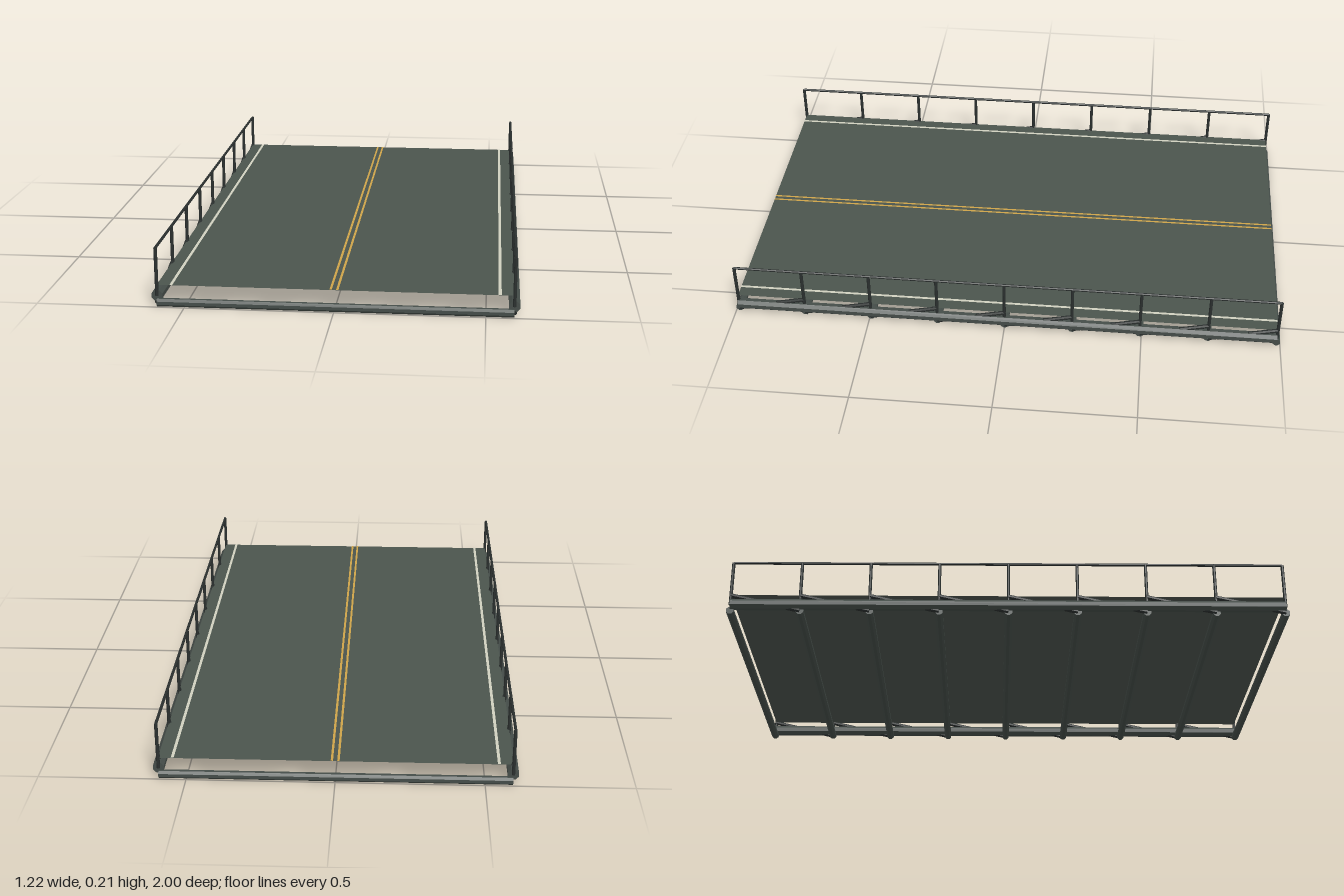
import * as THREE from 'three';

export function createModel() {
  const model = new THREE.Group();
  model.name = 'bridgeDeckSection';

  const mat = (name, color, extra = {}) =>
    Object.assign(new THREE.MeshStandardMaterial({ color, ...extra }), { name });
  const asphalt = mat('asphalt', 0x4b544d, { side: THREE.DoubleSide });
  const whitePaint = mat('whitePaint', 0xd0d0bf, { side: THREE.DoubleSide });
  const yellowPaint = mat('yellowPaint', 0xcda349, { side: THREE.DoubleSide });
  const steel = mat('steel', 0x454d49, { flatShading: true });
  const darkSteel = mat('darkSteel', 0x2a2f2e, { flatShading: true });

  const sideX = 0.593, endZ = 0.986, bays = 8;
  const beamY = 0.0145, girderY = 0.037, deckY = 0.075, railY = 0.204;
  const up = new THREE.Vector3(0, 1, 0);

  // Straight faceted bar between two points
  function bar(name, from, to, radius, material, sides = 8) {
    const a = new THREE.Vector3(...from), b = new THREE.Vector3(...to);
    const dir = b.clone().sub(a);
    const geo = new THREE.CylinderGeometry(radius, radius, dir.length(), sides);
    geo.rotateY(Math.PI / sides);
    const mesh = new THREE.Mesh(geo, material);
    mesh.name = name;
    mesh.position.copy(a).add(b).multiplyScalar(0.5);
    mesh.quaternion.setFromUnitVectors(up, dir.normalize());
    model.add(mesh);
  }

  // Flat horizontal sheet running the whole length
  function sheet(name, x, y, width, material) {
    const geo = new THREE.PlaneGeometry(width, 2 * endZ);
    geo.rotateX(-Math.PI / 2);
    const mesh = new THREE.Mesh(geo, material);
    mesh.name = name;
    mesh.position.set(x, y, 0);
    model.add(mesh);
  }

  // Road surface and lane markings
  sheet('roadDeck', 0, deckY, 2 * sideX, asphalt);
  for (const s of [-1, 1]) {
    sheet('edgeLine', s * 0.545, deckY + 0.0015, 0.01, whitePaint);
    sheet('centreLine', s * 0.011, deckY + 0.0015, 0.008, yellowPaint);
  }

  const stationZ = (i) => endZ - (2 * endZ * i) / bays;

  // Cross beams under the deck
  for (let i = 0; i <= bays; i++) {
    const z = stationZ(i);
    bar('crossBeam', [-sideX, beamY, z], [sideX, beamY, z], 0.0145, steel);
  }

  // Side girders, handrails, posts and diagonal braces
  for (const s of [-1, 1]) {
    const x = s * sideX;
    bar('sideGirder', [x, girderY, -endZ], [x, girderY, endZ], 0.02, steel);
    bar('handrail', [x, railY, -endZ], [x, railY, endZ], 0.005, darkSteel);
    for (let i = 0; i <= bays; i++) {
      const z = stationZ(i);
      bar('railPost', [x, girderY, z], [x, railY, z], 0.006, darkSteel);
      if (i < bays) {
        bar('diagonalBrace', [x, beamY, z], [x, 0.073, stationZ(i + 1)], 0.008, darkSteel);
      }
    }
  }
  return model;
}
